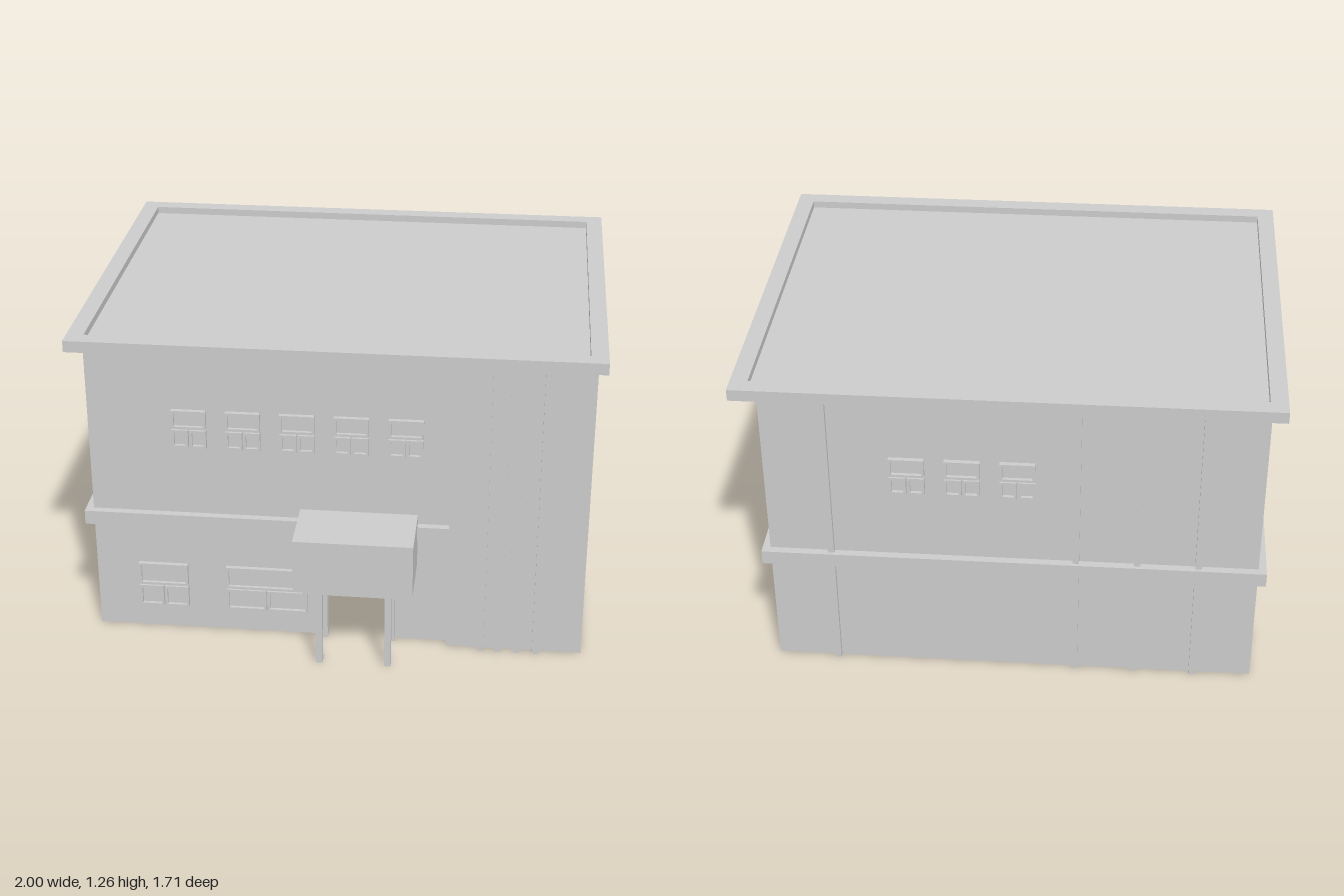
import * as THREE from 'three';

const material = new THREE.MeshStandardMaterial({ color: 0xcccccc });

// Box given by its extents on each axis
function box(parent, name, x0, x1, y0, y1, z0, z1) {
  const mesh = new THREE.Mesh(new THREE.BoxGeometry(x1 - x0, y1 - y0, z1 - z0), material);
  mesh.position.set((x0 + x1) / 2, (y0 + y1) / 2, (z0 + z1) / 2);
  mesh.name = name;
  parent.add(mesh);
  return mesh;
}

function rectPath(path, x0, x1, y0, y1) {
  path.moveTo(x0, y0);
  path.lineTo(x1, y0);
  path.lineTo(x1, y1);
  path.lineTo(x0, y1);
  path.closePath();
  return path;
}

// Rectangular ring, extruded along +z
function ring(x0, x1, y0, y1, tx, ty, depth) {
  const shape = rectPath(new THREE.Shape(), x0, x1, y0, y1);
  shape.holes.push(rectPath(new THREE.Path(), x0 + tx, x1 - tx, y0 + ty, y1 - ty));
  return new THREE.ExtrudeGeometry(shape, { depth, bevelEnabled: false });
}

// Window facing +z: one wide pane above two narrow ones
function windowUnit(name, width, height) {
  const group = new THREE.Group();
  group.name = name;
  const w = width / 2, gap = 0.005, split = height * 0.48;
  const panes = [
    [-w, w, split + gap, height],
    [-w, -gap / 2, 0, split],
    [gap / 2, w, 0, split],
  ];
  for (const [x0, x1, y0, y1] of panes) {
    const frame = new THREE.Mesh(ring(x0, x1, y0, y1, 0.01, 0.01, 0.018), material);
    frame.name = 'windowFrame';
    group.add(frame);
    box(group, 'windowPane', x0 + 0.01, x1 - 0.01, y0 + 0.01, y1 - 0.01, 0, 0.005);
  }
  return group;
}

export function createModel() {
  const model = new THREE.Group();
  model.name = 'building';
  const left = -0.945, right = 0.905, front = 0.605, back = -0.81;
  const top = 1.215, t = 0.03;

  // Hollow walls, open underneath
  const walls = new THREE.Group();
  walls.name = 'walls';
  model.add(walls);
  box(walls, 'leftWall', left, left + t, 0, top, back, front - t);
  box(walls, 'rightWall', right - t, right, 0, top, back, 0.12);
  box(walls, 'backWall', left + t, right - t, 0, top, back, back + t);

  // Front wall with the doorway notched out
  const outline = [[left, 0], [-0.03, 0], [-0.03, 0.235], [0.21, 0.235], [0.21, 0], [0.44, 0], [0.44, top], [left, top]];
  const frontShape = new THREE.Shape(outline.map(([x, y]) => new THREE.Vector2(x, y)));
  const frontWall = new THREE.Mesh(new THREE.ExtrudeGeometry(frontShape, { depth: t, bevelEnabled: false }), material);
  frontWall.name = 'frontWall';
  frontWall.position.z = front - t;
  walls.add(frontWall);

  // Projecting corner block with vertical fins
  box(model, 'cornerBlock', 0.44, 0.965, 0, top, 0.12, 0.64);
  for (const x of [0.575, 0.643, 0.715, 0.788]) {
    box(model, 'frontFin', x - 0.012, x + 0.012, 0, top, 0.64, 0.665);
  }

  // Wall columns on the back and both sides
  for (const x of [0.67, -0.26, -0.49, -0.72]) {
    box(model, 'backColumn', x - 0.012, x + 0.012, 0, top, back - 0.017, back);
  }
  for (const z of [-0.127, -0.355, -0.588]) {
    box(model, 'rightColumn', right, right + 0.017, 0, top, z - 0.012, z + 0.012);
    if (z < -0.2) box(model, 'leftColumn', left - 0.016, left, 0, top, z - 0.012, z + 0.012);
  }

  // Belt course around the building, stopping at the corner block
  const belt = new THREE.Group();
  belt.name = 'beltCourse';
  model.add(belt);
  const b = 0.03, y0 = 0.465, y1 = 0.522;
  box(belt, 'frontBelt', left - b, 0.44, y0, y1, front, front + b);
  box(belt, 'leftBelt', left - b, left, y0, y1, back, front);
  box(belt, 'backBelt', left - b, right + b, y0, y1, back - b, back);
  box(belt, 'rightBelt', right, right + b, y0, y1, back, 0.12);

  // Roof slab with raised rim
  box(model, 'roofSlab', -1, 1, top, 1.232, -0.855, 0.68);
  const rim = new THREE.Mesh(ring(-1, 1, -0.68, 0.855, 0.065, 0.065, 0.028), material);
  rim.name = 'roofRim';
  rim.rotation.x = -Math.PI / 2;
  rim.position.y = 1.232;
  model.add(rim);

  // Windows
  const addWindow = (name, x, y, z, width, height, turn) => {
    const unit = windowUnit(name, width, height);
    unit.position.set(x, y, z);
    unit.rotation.y = turn;
    model.add(unit);
  };
  for (let i = 0; i < 5; i++) addWindow('upperFrontWindow', -0.555 + i * 0.206, 0.81, front, 0.132, 0.155, 0);
  addWindow('lowerFrontWindow', -0.68, 0.1, front, 0.195, 0.19, 0);
  addWindow('wideFrontWindow', -0.27, 0.1, front, 0.32, 0.19, 0);
  for (let i = 0; i < 3; i++) addWindow('backWindow', 0.37 - i * 0.205, 0.81, back, 0.132, 0.155, Math.PI);
  addWindow('leftWindow', left, 0.8, 0.12, 0.33, 0.18, -Math.PI / 2);

  // Entrance canopy, posts and door frame
  box(model, 'canopy', -0.135, 0.318, 0.345, 0.56, front, 0.855);
  box(model, 'canopySoffit', -0.1, 0.285, 0.32, 0.345, front, 0.832);
  for (const x of [-0.0415, 0.2225]) {
    box(model, 'canopyPost', x - 0.0125, x + 0.0125, 0, 0.32, 0.785, 0.81);
    box(model, 'doorPost', x - 0.0125, x + 0.0125, 0, 0.32, front, front + 0.025);
  }
  box(model, 'doorLintel', -0.03, 0.21, 0.22, 0.236, front - t, front + 0.02);
  return model;
}
